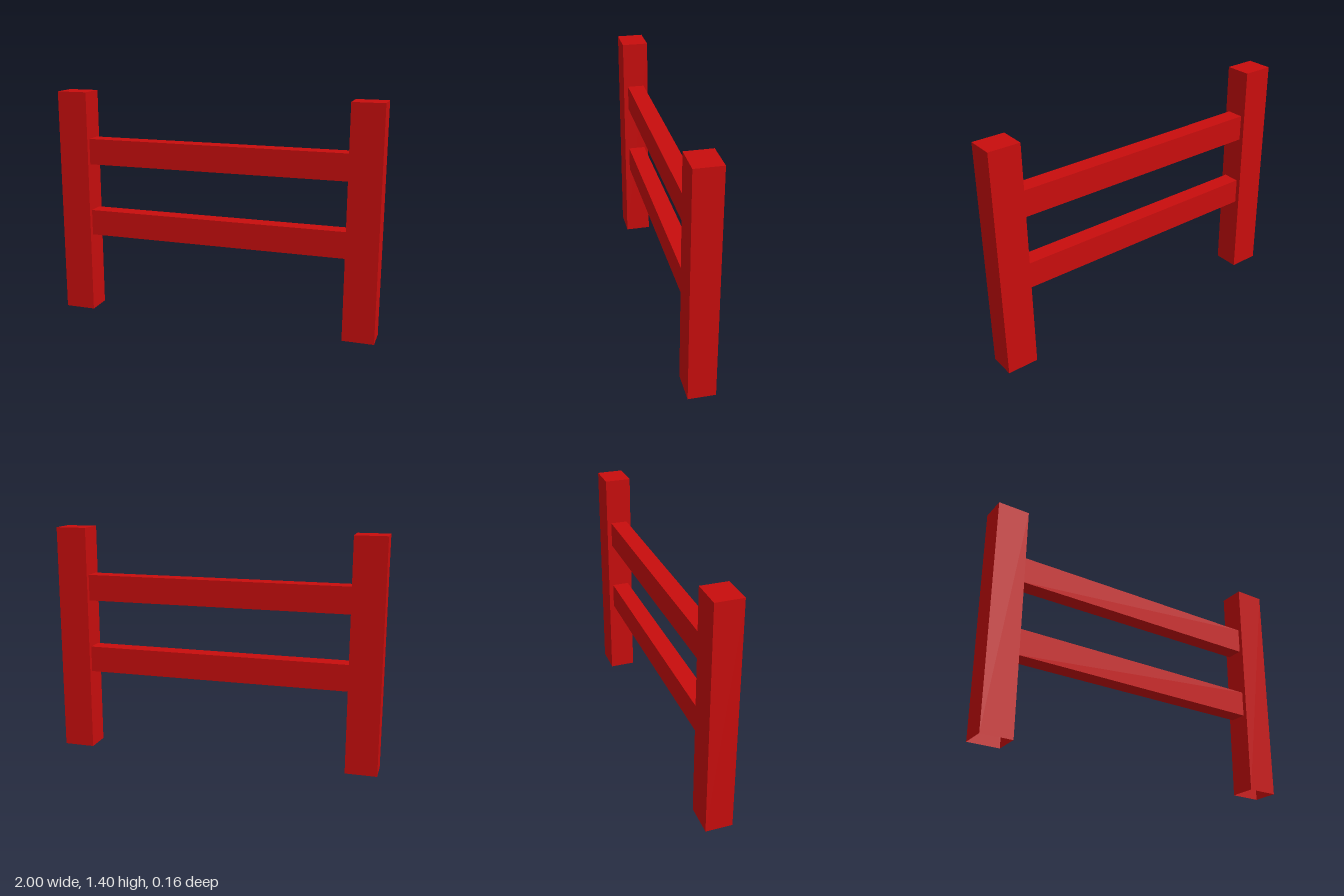
import * as THREE from 'three';

const red = new THREE.MeshStandardMaterial({ color: 0xc80d0d, side: THREE.DoubleSide });

// Post: a square box, hollow and open at the foot
function makePost(width, height, depth) {
  const geometry = new THREE.BoxGeometry(width, height, depth);
  const index = Array.from(geometry.index.array);
  index.splice(18, 6); // drop the bottom face
  geometry.setIndex(index);
  geometry.clearGroups();
  return geometry;
}

export function createModel() {
  const fence = new THREE.Group();
  fence.name = 'fence';

  const add = (name, geometry, x, y) => {
    const mesh = new THREE.Mesh(geometry, red);
    mesh.name = name;
    mesh.position.set(x, y, 0);
    fence.add(mesh);
  };

  // Two upright posts
  const postWidth = 0.19, postHeight = 1.4;
  const post = makePost(postWidth, postHeight, 0.16);
  for (const side of [-1, 1]) {
    add(side > 0 ? 'leftPost' : 'rightPost', post, side * (1 - postWidth / 2), postHeight / 2);
  }

  // Two rails spanning between the posts
  const rail = new THREE.BoxGeometry(2 - 2 * postWidth, 0.16, 0.105);
  add('lowerRail', rail, 0, 0.575);
  add('upperRail', rail, 0, 1.03);

  return fence;
}
